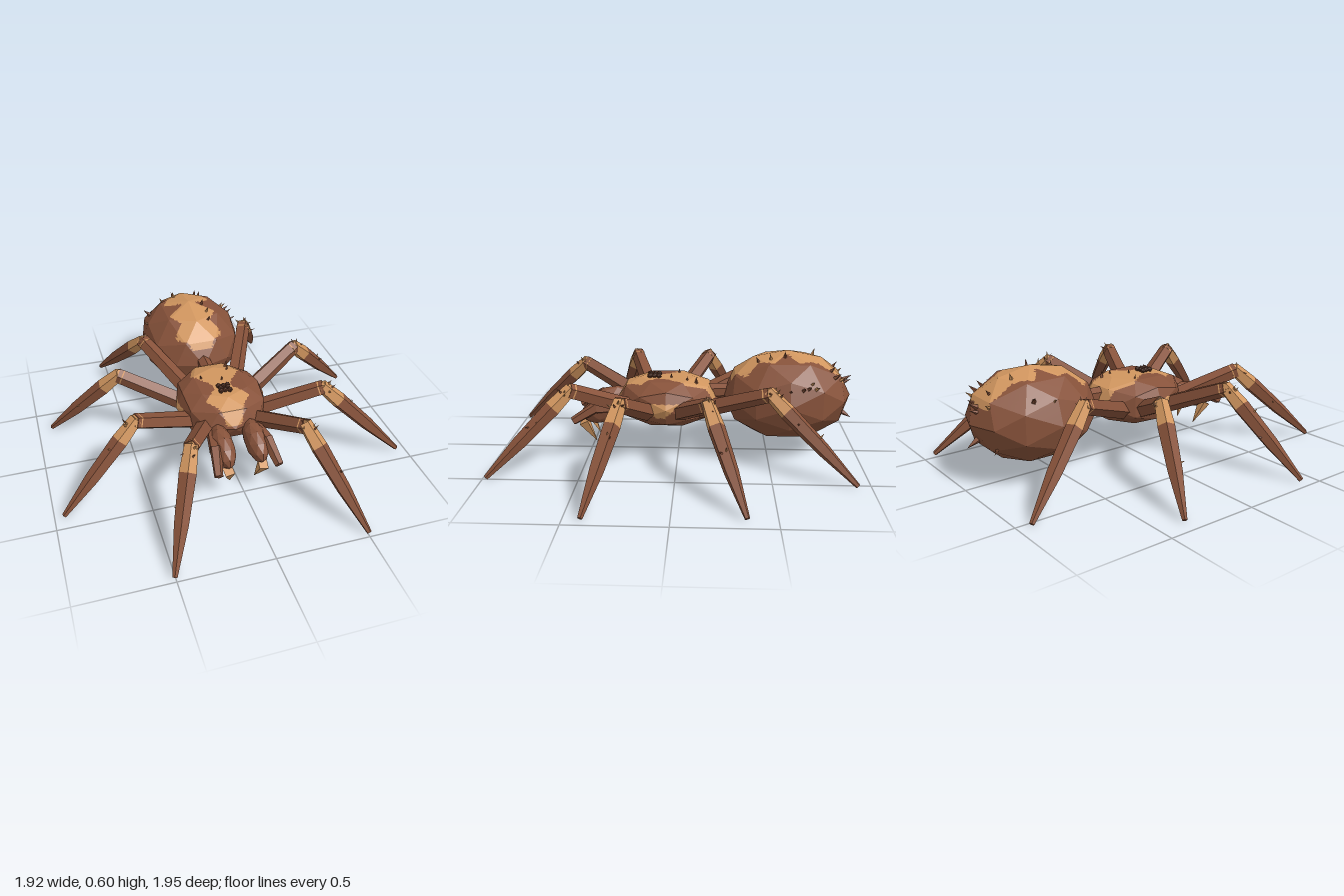
import * as THREE from 'three';

const mat = (name, color) => {
  const m = new THREE.MeshStandardMaterial({ color, flatShading: true });
  m.name = name;
  return m;
};
const V = (x, y, z) => new THREE.Vector3(x, y, z);

export function createModel() {
  const brown = mat('brown', 0x87523a);
  const tan = mat('tan', 0xd1965f);
  const dark = mat('dark brown', 0x5a3626);
  const root = new THREE.Group();
  root.name = 'spider';

  const add = (parent, name, geo, material) => {
    const m = new THREE.Mesh(geo, material);
    m.name = name;
    parent.add(m);
    return m;
  };

  // Faceted tapered rod from a to b
  const rod = (parent, name, a, b, ra, rb, material, sides = 5) => {
    const d = b.clone().sub(a);
    const m = add(parent, name, new THREE.CylinderGeometry(rb, ra, d.length(), sides), material);
    m.position.copy(a).addScaledVector(d, 0.5);
    m.quaternion.setFromUnitVectors(V(0, 1, 0), d.normalize());
    return m;
  };
  const spike = (parent, p, n, len, material) => {
    const dir = n.clone().normalize();
    rod(parent, 'thorn', p.clone().addScaledVector(dir, -0.012), p.clone().addScaledVector(dir, len),
      0.3 * len + 0.002, 0.0005, material, 4);
  };

  // Faceted body with low-poly facets, warped by a rule
  const facetBody = (warp) => {
    const g = new THREE.IcosahedronGeometry(1, 1).rotateY(Math.PI / 2);
    const p = g.attributes.position;
    const v = V(0, 0, 0);
    for (let i = 0; i < p.count; i++) {
      warp(v.fromBufferAttribute(p, i));
      p.setXYZ(i, v.x, v.y, v.z);
    }
    return g;
  };

  // Split each flat facet finely and give the marked cells the second material
  const paint = (geo, isMarked, n = 10) => {
    const p = geo.attributes.position;
    const lists = [[], []];
    for (let f = 0; f < p.count; f += 3) {
      const [a, b, c] = [0, 1, 2].map((k) => V(0, 0, 0).fromBufferAttribute(p, f + k));
      const at = (i, j) => a.clone().addScaledVector(b.clone().sub(a), i / n).addScaledVector(c.clone().sub(a), j / n);
      const tri = (q, r, s) => {
        const mid = q.clone().add(r).add(s).divideScalar(3);
        const list = lists[isMarked(mid) ? 1 : 0];
        for (const w of [q, r, s]) list.push(w.x, w.y, w.z);
      };
      for (let i = 0; i < n; i++) {
        for (let j = 0; j < n - i; j++) {
          tri(at(i, j), at(i + 1, j), at(i, j + 1));
          if (i + j < n - 1) tri(at(i + 1, j), at(i + 1, j + 1), at(i, j + 1));
        }
      }
    }
    const out = new THREE.BufferGeometry();
    out.setAttribute('position', new THREE.Float32BufferAttribute(lists[0].concat(lists[1]), 3));
    out.addGroup(0, lists[0].length / 3, 0);
    out.addGroup(lists[0].length / 3, lists[1].length / 3, 1);
    out.computeVertexNormals();
    return out;
  };

  // Half-width of a stripe at z, from [z, width] pairs
  const stripe = (pairs) => (z) => {
    for (let i = 1; i < pairs.length; i++) {
      const [z0, w0] = pairs[i - 1];
      const [z1, w1] = pairs[i];
      if (z >= z0 && z <= z1) return THREE.MathUtils.mapLinear(z, z0, z1, w0, w1);
    }
    return 0;
  };

  // Abdomen
  const abC = V(0, 0.342, -0.6);
  const abR = V(0.3, 0.25, 0.355);
  const abStripe = stripe([[-0.95, 0.09], [-0.9, 0.1], [-0.76, 0.09], [-0.65, 0.14], [-0.6, 0.04],
    [-0.51, 0.14], [-0.44, 0.09], [-0.37, 0.14], [-0.25, 0.01]]);
  add(root, 'abdomen', paint(facetBody((v) => v.multiply(abR).add(abC)),
    (m) => m.y > 0.43 && Math.abs(m.x) < abStripe(m.z)), [brown, tan]);

  // Head and thorax, flattened on top
  const thStripe = stripe([[-0.22, 0.06], [-0.18, 0.1], [-0.04, 0.14], [0.08, 0.05], [0.12, 0.05],
    [0.2, 0.12], [0.25, 0.08], [0.35, 0.03]]);
  add(root, 'thorax', paint(facetBody((v) => {
    v.y = Math.sign(v.y) * Math.pow(Math.abs(v.y), 0.75);
    v.set(v.x * 0.255, Math.min(0.31 + v.y * 0.145, 0.432), 0.06 + v.z * 0.285);
  }), (m) => (m.y > 0.33 && Math.abs(m.x) < thStripe(m.z))
    || (Math.abs(m.x) > 0.18 && m.y > 0.26 && m.y < 0.34 && Math.abs(m.z - 0.09) < m.y - 0.235)), [brown, tan]);
  rod(root, 'waist', V(0, 0.35, -0.16), V(0, 0.36, -0.32), 0.045, 0.04, brown, 6);

  // Eye cluster on top of the head
  for (let i = 0; i < 8; i++) {
    const a = (i / 8) * Math.PI * 2;
    const r = i % 2 ? 0.035 : 0.02;
    const e = add(root, 'eye', new THREE.IcosahedronGeometry(0.016, 0), dark);
    e.position.set(Math.cos(a) * r, 0.443, 0.135 + Math.sin(a) * r);
  }

  // Thorns on the abdomen, given by x and z on its upper or lower side
  const abThorns = [[0.09, -0.5, 1, 0.03], [0.08, -0.58, 1, 0.03], [0.08, -0.43, 1, 0.03], [-0.06, -0.75, 1, 0.035],
    [0.1, -0.84, 1, 0.035], [0.13, -0.86, 1, 0.045], [0.11, -0.89, 1, 0.04], [0, -0.93, 1, 0.045],
    [-0.02, -0.94, 1, 0.035], [-0.1, -0.9, 1, 0.04], [-0.04, -0.87, 1, 0.03], [0.05, -0.92, 1, 0.03],
    [0.25, -0.74, 1, 0.045], [0.26, -0.7, 1, 0.04], [0.27, -0.67, 1, 0.04], [0.24, -0.72, 1, 0.03],
    [0.28, -0.6, 1, 0.03], [-0.23, -0.72, 1, 0.045], [-0.26, -0.62, 1, 0.03], [0.02, -0.925, -1, 0.06],
    [-0.12, -0.88, -1, 0.035]];
  abThorns.forEach(([x, z, side, len], i) => {
    const ux = x / abR.x;
    const uz = (z - abC.z) / abR.z;
    const u = V(ux, side * Math.sqrt(Math.max(0.02, 1 - ux * ux - uz * uz)), uz).normalize();
    spike(root, u.clone().multiply(abR).multiplyScalar(0.96).add(abC), u.clone().divide(abR), len, i % 3 ? brown : tan);
  });
  for (const [x, z] of [[0.08, -0.1], [0.015, 0.04], [-0.09, 0.0], [0.07, -0.05]]) {
    spike(root, V(x, 0.425, z), V(x, 0.4, 0), 0.03, brown);
  }

  // Legs: hip, knee and foot on the left, mirrored to the right
  const legs = [
    [V(0.13, 0.28, 0.22), V(0.305, 0.43, 0.565), V(0.505, 0.015, 0.98)],
    [V(0.18, 0.28, 0.155), V(0.525, 0.43, 0.275), V(0.95, 0.015, 0.415)],
    [V(0.18, 0.28, -0.01), V(0.525, 0.43, -0.17), V(0.92, 0.015, -0.355)],
    [V(0.13, 0.28, -0.1), V(0.315, 0.43, -0.49), V(0.53, 0.015, -0.93)],
  ];
  let seed = 7;
  const rand = () => (seed = (seed * 16807) % 2147483647) / 2147483647;
  for (const s of [1, -1]) {
    const side = s > 0 ? 'left' : 'right';
    const M = (v) => V(v.x * s, v.y, v.z);
    legs.forEach((points, i) => {
      const [hip, knee, foot] = points.map(M);
      const leg = new THREE.Group();
      leg.name = `${side}Leg${i + 1}`;
      root.add(leg);
      const along = (t) => knee.clone().lerp(foot, t);
      rod(leg, 'thigh', hip, knee, 0.05, 0.043, brown);
      rod(leg, 'kneeCap', hip.clone().lerp(knee, 0.93), knee.clone().lerp(hip, -0.03), 0.045, 0.035, tan);
      rod(leg, 'knee', along(-0.03), along(0.2), 0.036, 0.046, tan);
      rod(leg, 'shin', along(0.2), along(0.6), 0.046, 0.038, brown);
      rod(leg, 'foot', along(0.6), foot, 0.038, 0.013, brown);
      // Small thorns around the knee and shin
      for (let k = 0; k < 6; k++) {
        const out = V(rand() - 0.5, rand() * 0.8, rand() - 0.5).normalize();
        const p = k < 4 ? along(rand() * 0.1) : along(0.3 + rand() * 0.25);
        spike(leg, p.addScaledVector(out, 0.034), out, 0.025, k % 2 ? tan : brown);
      }
    });

    // Jaw, fang and feeler
    const jaw = add(root, `${side}Jaw`, new THREE.IcosahedronGeometry(1, 1), brown);
    jaw.scale.set(0.06, 0.075, 0.14);
    jaw.position.set(s * 0.09, 0.265, 0.405);
    jaw.rotation.x = 0.3;
    rod(root, `${side}Fang`, V(s * 0.095, 0.195, 0.525), V(s * 0.07, 0.07, 0.46), 0.036, 0.001, tan, 4);
    rod(root, `${side}FeelerBase`, V(s * 0.11, 0.29, 0.26), V(s * 0.145, 0.285, 0.45), 0.035, 0.033, brown);
    rod(root, `${side}FeelerTip`, V(s * 0.14, 0.295, 0.44), V(s * 0.165, 0.215, 0.575), 0.034, 0.024, brown);
  }
  return root;
}
